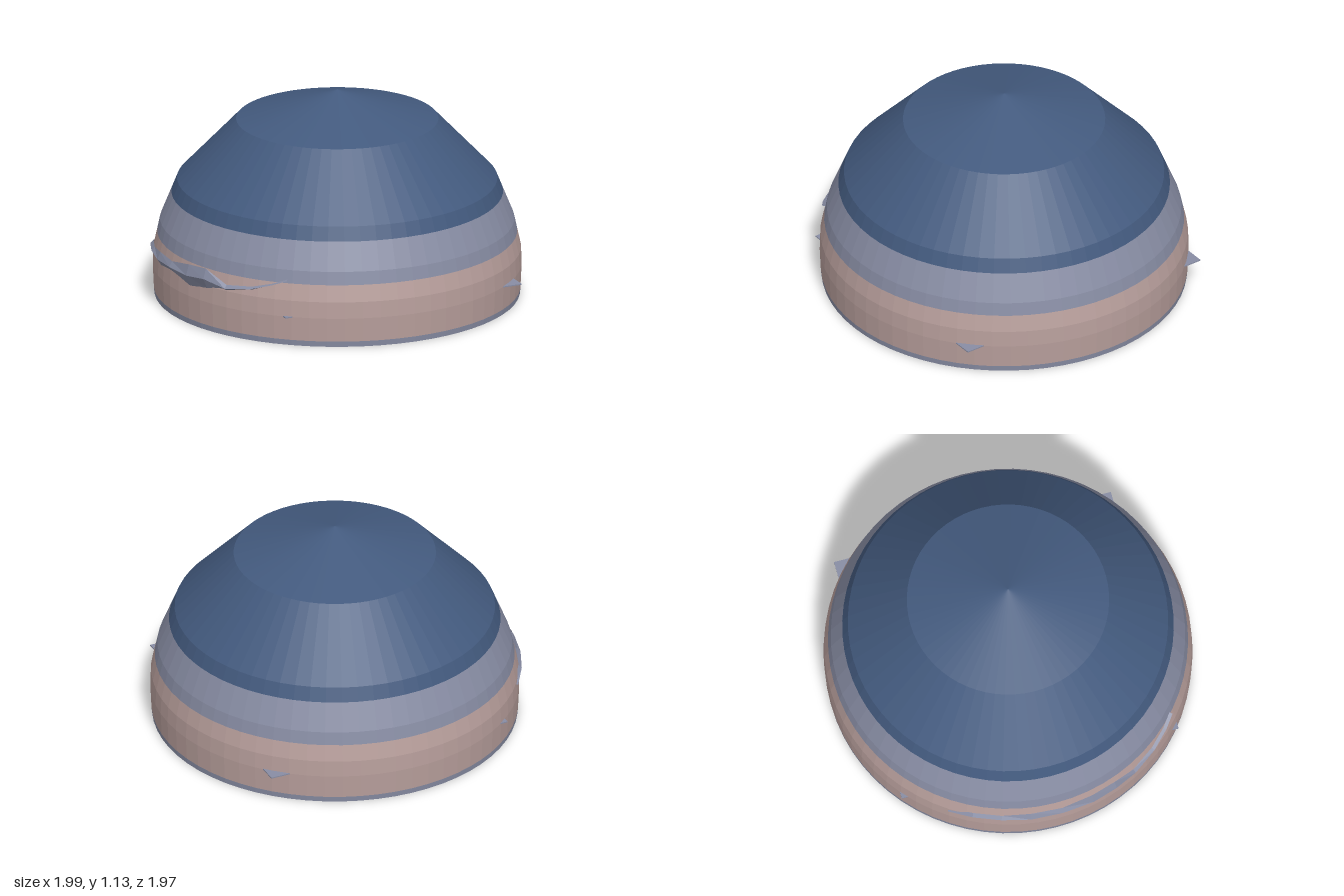
import * as THREE from 'three';

const flat = (name, color) => {
  const m = new THREE.MeshStandardMaterial({ color, side: THREE.DoubleSide, flatShading: true });
  m.name = name;
  return m;
};

export function createModel() {
  const navy = flat('navy', 0x435a7e);
  const slate = flat('slate', 0x888da4);
  const pink = flat('dustyPink', 0xb89f9c);
  const brown = flat('brown', 0x94692a);
  const blue = flat('blue', 0x6f9ccb);
  const grey = flat('grey', 0x8b8478);

  const group = new THREE.Group();
  const add = (name, geometry, material, x = 0, y = 0, z = 0) => {
    const mesh = new THREE.Mesh(geometry, material);
    mesh.name = name;
    mesh.position.set(x, y, z);
    group.add(mesh);
    return mesh;
  };

  // Faceted open dome, split into horizontal colour bands
  const bands = [
    ['rimBand', slate, [[0.976, 0], [0.979, 0.03]]],
    ['lowerBand', pink, [[0.979, 0.03], [0.985, 0.16], [0.981, 0.25], [0.961, 0.34]]],
    ['middleBand', slate, [[0.961, 0.34], [0.946, 0.41], [0.885, 0.56]]],
    ['domeCap', navy, [[0.885, 0.56], [0.855, 0.635], [0.54, 0.967], [0, 1.13]]],
  ];
  for (const [name, material, profile] of bands) {
    const points = profile.map(([r, y]) => new THREE.Vector2(r, y));
    add(name, new THREE.LatheGeometry(points, 64), material, 0.01);
  }

  // Thin square floor whose corners poke through the wall
  add('floorPlate', new THREE.BoxGeometry(1.39, 0.006, 1.53), slate, 0.045, 0.16, 0);

  // Shallow rings below the floor
  for (const [name, r, low] of [['outerRing', 0.88, 0.1], ['innerRing', 0.68, 0.12]]) {
    const height = 0.2 - low;
    add(name, new THREE.CylinderGeometry(r, r, height, 48, 1, true), slate, -0.04, low + height / 2, -0.02);
  }

  // Underside of the little building, with its fittings
  add('buildingBase', new THREE.BoxGeometry(0.5, 0.008, 0.54), brown, -0.35, 0.153, 0.01);
  add('bluePanel', new THREE.BoxGeometry(0.3, 0.006, 0.09), blue, -0.33, 0.147, -0.13);
  add('roundPlate', new THREE.CylinderGeometry(0.1, 0.1, 0.006, 20), grey, -0.36, 0.147, 0.09);
  add('cornerPatch', new THREE.BoxGeometry(0.1, 0.006, 0.36), slate, -0.57, 0.146, 0.06);
  for (let i = 0; i < 5; i++) {
    add('baseStrip', new THREE.BoxGeometry(0.025, 0.006, 0.06), grey, -0.16 - i * 0.08, 0.147, 0.23);
  }

  // Ragged ridge breaking through the right wall: angle, lower y, upper y, radius
  const ridge = [
    [-34, 0.235, 0.24, 0.985], [-26, 0.24, 0.28, 0.992], [-17, 0.25, 0.29, 0.995],
    [-8, 0.23, 0.31, 0.998], [2, 0.25, 0.31, 1.0], [12, 0.22, 0.34, 1.003],
    [20, 0.24, 0.35, 1.003], [28, 0.25, 0.285, 0.992], [37, 0.28, 0.3, 0.985],
    [44, 0.32, 0.33, 0.978], [49, 0.35, 0.36, 0.97],
  ];
  const position = [];
  const index = [];
  ridge.forEach(([deg, low, high, r], i) => {
    const a = THREE.MathUtils.degToRad(deg);
    for (const [y, k] of [[low, r - 0.02], [(low + high) / 2, r + 0.006], [high, r - 0.012]]) {
      position.push(0.01 - Math.cos(a) * k, y, Math.sin(a) * k);
    }
    if (i === 0) return;
    for (let j = 0; j < 2; j++) {
      const p = (i - 1) * 3 + j;
      index.push(p, p + 3, p + 1, p + 1, p + 3, p + 4);
    }
  });
  const ridgeGeometry = new THREE.BufferGeometry();
  ridgeGeometry.setAttribute('position', new THREE.Float32BufferAttribute(position, 3));
  ridgeGeometry.setIndex(index);
  ridgeGeometry.computeVertexNormals();
  add('ridge', ridgeGeometry, slate);

  return group;
}
